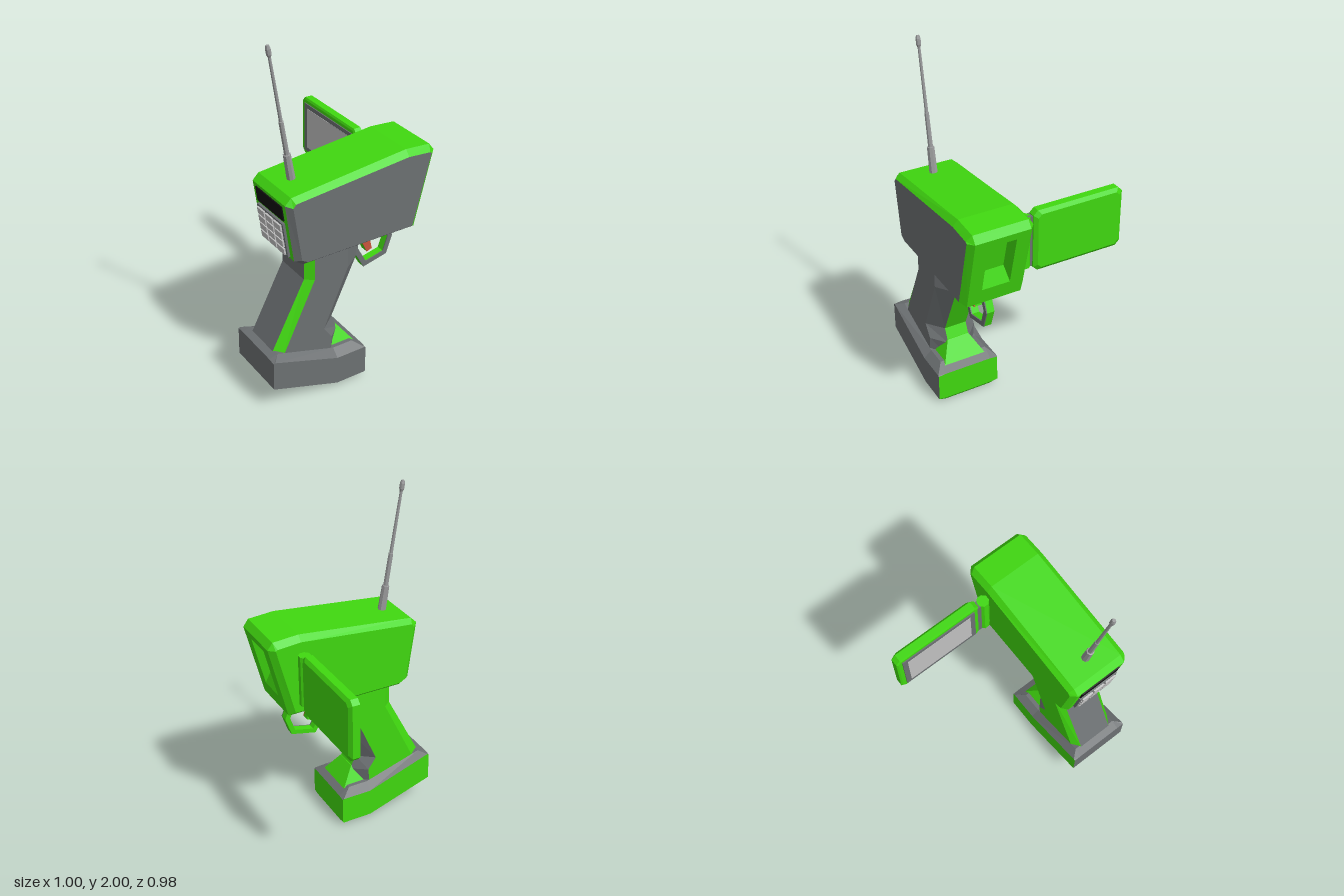
import * as THREE from 'three';

const mat = (name, color) => {
  const m = new THREE.MeshStandardMaterial({ color });
  m.name = name;
  return m;
};
const green = mat('green shell', 0x40d810);
const grey = mat('grey panel', 0x6c7072);
const light = mat('light grey', 0xc0c0c0);
const metal = mat('antenna metal', 0x98999a);
const black = mat('black display', 0x101010);
const red = mat('red trigger', 0xc8553c);

// Skins a list of rings (counter-clockwise seen from +axis) and caps the ends.
// colour(band, edge) picks the material of each side face, or null for none.
function loft(name, rings, axis, colour, startCap, endCap) {
  const byMat = new Map();
  const add = (m, ...pts) => {
    if (!m) return;
    if (!byMat.has(m)) byMat.set(m, []);
    pts.forEach((p) => byMat.get(m).push(...p));
  };
  const n = rings[0].length;
  for (let b = 0; b < rings.length - 1; b++) {
    for (let i = 0; i < n; i++) {
      const j = (i + 1) % n, p = rings[b], q = rings[b + 1], m = colour(b, i);
      add(m, p[i], p[j], q[j]);
      add(m, p[i], q[j], q[i]);
    }
  }
  const cap = (ring, m, flip) => {
    const flat = ring.map((p) => new THREE.Vector2(p[(axis + 1) % 3], p[(axis + 2) % 3]));
    for (const [a, b, c] of THREE.ShapeUtils.triangulateShape(flat, [])) {
      if (flip) add(m, ring[a], ring[c], ring[b]);
      else add(m, ring[a], ring[b], ring[c]);
    }
  };
  if (startCap) cap(rings[0], startCap, true);
  if (endCap) cap(rings[rings.length - 1], endCap, false);

  const geo = new THREE.BufferGeometry(), all = [], mats = [];
  for (const [m, list] of byMat) {
    geo.addGroup(all.length / 3, list.length / 3, mats.length);
    mats.push(m);
    for (const v of list) all.push(v);
  }
  geo.setAttribute('position', new THREE.Float32BufferAttribute(all, 3));
  geo.computeVertexNormals();
  const mesh = new THREE.Mesh(geo, mats);
  mesh.name = name;
  return mesh;
}

const MID = 0.305; // centre plane of the body in z
const atZ = (profile, z) => profile.map(([x, y]) => [x, y, z]);

// Bevelled slab: side profile on both flanks, outer profile between them
function slab(name, side, outer, half, innerHalf, colour, startCap, endCap) {
  const mid = (s) => outer.map(([x, y], i) =>
    [x, y, MID + s * (Array.isArray(innerHalf) ? innerHalf[i] : innerHalf)]);
  return loft(name, [atZ(side, MID - half), mid(-1), mid(1), atZ(side, MID + half)],
    2, colour, startCap, endCap);
}

function box(name, m, sx, sy, sz, x, y, z) {
  const mesh = new THREE.Mesh(new THREE.BoxGeometry(sx, sy, sz), m);
  mesh.position.set(x, y, z);
  mesh.name = name;
  return mesh;
}

// Green extrusion with a coloured face plate on its +z side
function facedPlate(name, outline, hole, face) {
  const g = new THREE.Group();
  g.name = name;
  const shape = new THREE.Shape(outline.map((p) => new THREE.Vector2(...p)));
  if (hole) shape.holes.push(new THREE.Path(hole.map((p) => new THREE.Vector2(...p))));
  for (const [m, depth, z] of [[green, 0.042, 0.282], [face, 0.006, 0.324]]) {
    const mesh = new THREE.Mesh(new THREE.ExtrudeGeometry(shape, { depth, bevelEnabled: false }), m);
    mesh.position.z = z;
    mesh.name = name + (m === green ? 'Core' : 'Face');
    g.add(mesh);
  }
  return g;
}

// Rectangle with cut corners in the y-z plane at a given x
const cutRect = (x, y0, y1, z0, z1, c) => [
  [x, y0 + c, z0], [x, y1 - c, z0], [x, y1, z0 + c], [x, y1, z1 - c],
  [x, y1 - c, z1], [x, y0 + c, z1], [x, y0, z1 - c], [x, y0, z0 + c]];

export function createModel() {
  const model = new THREE.Group();
  model.name = 'handheldScanner';

  // Main housing, left open at the nose for the recessed window
  model.add(slab('housing',
    [[-0.325, 0.895], [-0.29, 0.875], [0.365, 0.875], [0.466, 1.28], [0.455, 1.287], [0.32, 1.297], [-0.36, 1.23], [-0.375, 1.21]],
    [[-0.355, 0.885], [-0.30, 0.85], [0.395, 0.85], [0.5, 1.28], [0.47, 1.32], [0.32, 1.33], [-0.37, 1.255], [-0.405, 1.22]],
    0.185, 0.155,
    (b, e) => (b === 1 && e === 2 ? null : b === 2 && [0, 1, 7].includes(e) ? grey : green),
    green, grey));

  // Nose face with window recess
  const nose = (t, z, d) => [0.395 + 0.105 * t - d, 0.85 + 0.43 * t + 0.24 * d, MID + z];
  const noseRing = (t0, t1, w, d) => [nose(t0, w, d), nose(t0, -w, d), nose(t1, -w, d), nose(t1, w, d)];
  model.add(loft('noseWindow',
    [noseRing(0, 1, 0.155, 0), noseRing(0.22, 0.9, 0.08, 0), noseRing(0.4, 0.84, 0.06, 0.05)],
    0, () => green, null, green));

  // Grip
  model.add(slab('grip',
    [[-0.425, 0.28], [-0.12, 0.2], [-0.11, 0.31], [-0.16, 0.38], [-0.015, 0.72], [-0.015, 0.86], [-0.22, 0.86], [-0.22, 0.715]],
    [[-0.475, 0.3], [-0.05, 0.2], [-0.03, 0.3], [-0.065, 0.38], [0.09, 0.72], [0.09, 0.86], [-0.265, 0.86], [-0.265, 0.715]],
    0.14, [0.105, 0.065, 0.065, 0.065, 0.065, 0.065, 0.105, 0.105],
    (b, e) => ((e >= 1 && e <= 4) === (b === 1) ? green : grey),
    green, grey));

  // Flared foot in front of the grip
  const footRing = (y, x0, x1, w) => [[x0, y, MID - w], [x0, y, MID + w], [x1, y, MID + w], [x1, y, MID - w]];
  model.add(loft('gripFoot', [footRing(0.215, -0.1, 0.045, 0.125), footRing(0.32, -0.08, -0.035, 0.065)],
    1, () => green, green, green));

  // Battery base
  model.add(slab('base',
    [[-0.5, 0.15], [-0.47, 0.14], [-0.1, 0.02], [0.08, 0.02], [0.085, 0.025], [0.085, 0.185], [0.08, 0.19], [-0.1, 0.19], [-0.49, 0.32], [-0.5, 0.315]],
    [[-0.5, 0.15], [-0.46, 0.115], [-0.1, 0], [0.07, 0], [0.085, 0.02], [0.085, 0.19], [0.02, 0.23], [-0.1, 0.23], [-0.45, 0.335], [-0.5, 0.32]],
    0.185, 0.14, (b, e) => (e < 5 ? green : grey), green, grey));

  // Trigger and its guard
  model.add(facedPlate('triggerGuard',
    [[0.1, 0.855], [0.1, 0.72], [0.17, 0.595], [0.32, 0.63], [0.357, 0.738], [0.31, 0.855]],
    [[0.135, 0.825], [0.285, 0.825], [0.327, 0.738], [0.298, 0.652], [0.185, 0.625], [0.13, 0.725]], grey));
  model.add(facedPlate('trigger', [[0.11, 0.85], [0.19, 0.685], [0.222, 0.697], [0.185, 0.85]], null, red));

  // Telescopic antenna
  const antennaProfile = [[0, 0], [0.024, 0], [0.021, 0.15], [0.014, 0.152], [0.013, 0.34],
    [0.010, 0.342], [0.008, 0.69], [0.014, 0.705], [0.014, 0.735], [0.009, 0.752], [0, 0.752]];
  const antennaGeo = new THREE.LatheGeometry(antennaProfile.map((p) => new THREE.Vector2(...p)), 8).toNonIndexed();
  antennaGeo.computeVertexNormals();
  const antenna = new THREE.Mesh(antennaGeo, metal);
  antenna.name = 'antenna';
  antenna.position.set(-0.272, 1.257, MID);
  antenna.rotation.z = 0.167;
  model.add(antenna);

  // Display and keypad on the sloped rear face
  const rear = new THREE.Group();
  rear.name = 'rearControls';
  rear.position.set(-0.38, 1.0525, MID);
  rear.rotation.z = 0.147;
  rear.add(box('display', black, 0.008, 0.085, 0.25, -0.003, 0.108, 0));
  rear.add(box('keypadPlate', grey, 0.02, 0.205, 0.25, -0.004, -0.052, 0));
  for (let row = 0; row < 4; row++) {
    for (let col = -1; col <= 1; col++) {
      rear.add(box('key', light, 0.014, 0.038, 0.066, -0.017, 0.021 - row * 0.048, col * 0.078));
    }
  }
  model.add(rear);

  // Fold-out screen on a vertical hinge
  const screen = new THREE.Group();
  screen.name = 'sideScreen';
  screen.add(loft('screenCase', [
    cutRect(0.297, 0.917, 1.253, -0.48, 0.035, 0.02),
    cutRect(0.303, 0.905, 1.265, -0.49, 0.047, 0.025),
    cutRect(0.345, 0.905, 1.265, -0.49, 0.047, 0.025),
    cutRect(0.36, 0.925, 1.245, -0.468, 0.025, 0.02)], 0, () => green, green, green));
  screen.add(box('screenBezel', grey, 0.008, 0.3, 0.47, 0.295, 1.085, -0.222));
  screen.add(box('screenPanel', light, 0.006, 0.25, 0.41, 0.2925, 1.085, -0.222));
  screen.add(box('hingeLink', grey, 0.04, 0.3, 0.05, 0.318, 1.085, 0.05));
  const hingeGeo = new THREE.CylinderGeometry(0.035, 0.035, 0.3, 8).rotateY(Math.PI / 8).toNonIndexed();
  hingeGeo.computeVertexNormals();
  const hinge = new THREE.Mesh(hingeGeo, green);
  hinge.name = 'hinge';
  hinge.position.set(0.318, 1.085, 0.087);
  screen.add(hinge);
  model.add(screen);

  return model;
}
